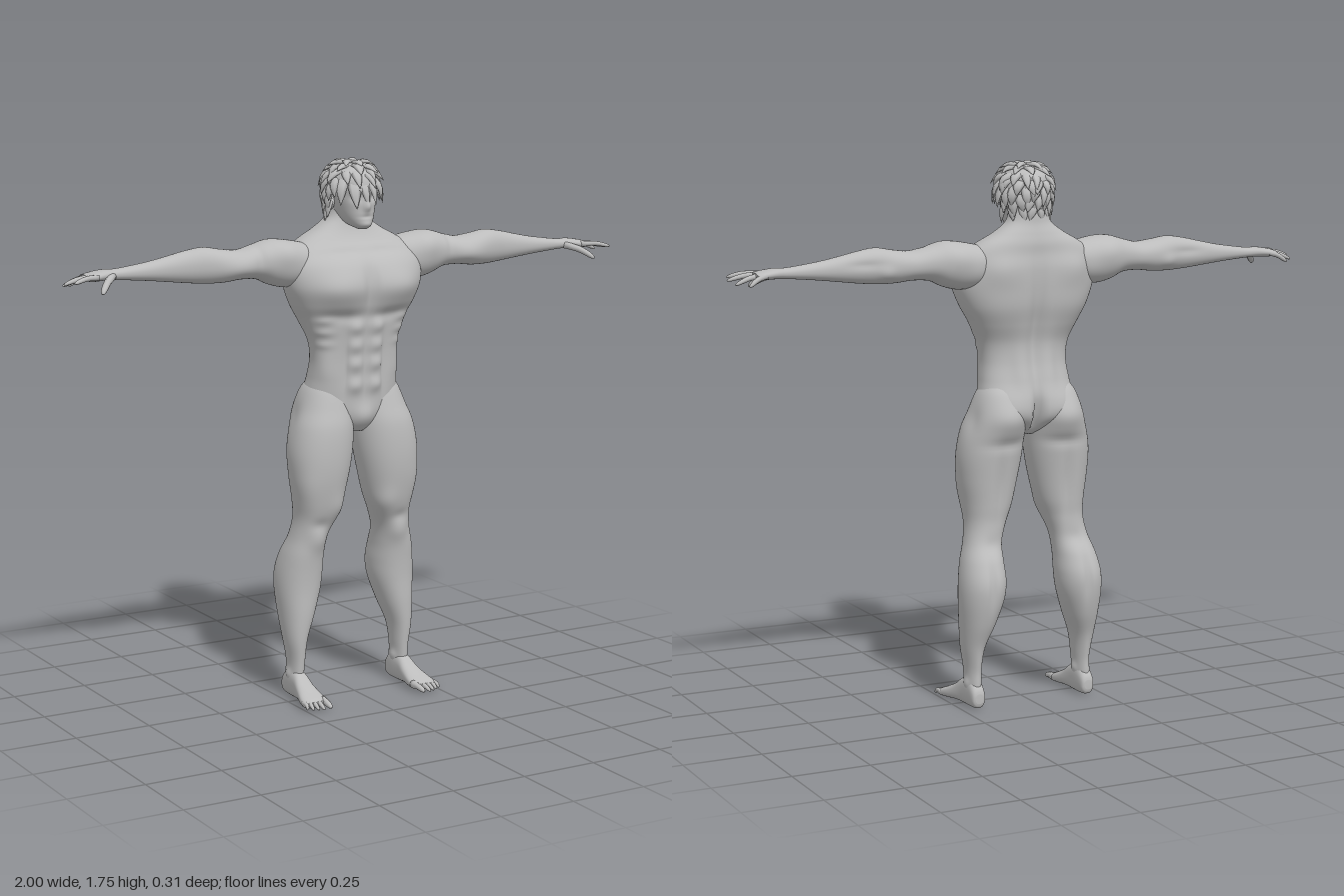
import * as THREE from 'three';

const skin = new THREE.MeshStandardMaterial({ color: 0xbcbcbc });
skin.name = 'plain grey';
const V = (x, y, z) => new THREE.Vector3(x, y, z);

// Skin a list of equal rings of points, closing both ends
function skinRings(rings) {
  const n = rings[0].length;
  const mid = r => r.reduce((s, p) => s.add(p), V(0, 0, 0)).divideScalar(n);
  const all = [rings[0].map(() => mid(rings[0])), ...rings, rings[0].map(() => mid(rings.at(-1)))];
  const index = [];
  for (let j = 0; j < all.length - 1; j++) {
    for (let i = 0; i < n; i++) {
      const a = j * n + i, b = j * n + (i + 1) % n;
      index.push(a, a + n, b, b, a + n, b + n);
    }
  }
  const g = new THREE.BufferGeometry().setFromPoints(all.flat());
  g.setIndex(index);
  g.computeVertexNormals();
  return g;
}

// Smooth loft through rows [along, u0, u1, v0, v1]; bumps [x, y, z, rx, ry, rz, amount] model the muscles
const axes = {
  y: (a, u, v) => V(u, a, v),
  x: (a, u, v) => V(a, v, u),
  z: (a, u, v) => V(v, u, a),
};
function loft(axis, rows, { power = 2.2, bumps = [], sides = 56, steps = 7 } = {}) {
  const place = axes[axis], rings = [];
  const row = k => rows[Math.max(0, Math.min(rows.length - 1, k))];
  for (let s = 0; s <= (rows.length - 1) * steps; s++) {
    const k = Math.floor(s / steps), t = s / steps - k;
    const [a, u0, u1, v0, v1] = row(k).map((p1, c) => {
      const p0 = row(k - 1)[c], p2 = row(k + 1)[c], p3 = row(k + 2)[c];
      return p1 + 0.5 * t * (p2 - p0 + t * (2 * p0 - 5 * p1 + 4 * p2 - p3 + t * (3 * (p1 - p2) + p3 - p0)));
    });
    const centre = place(a, (u0 + u1) / 2, (v0 + v1) / 2);
    const round = c => Math.sign(c) * Math.abs(c) ** (2 / power) / 2;
    rings.push(Array.from({ length: sides }, (_, i) => {
      const w = (i / sides) * Math.PI * 2;
      const p = place(a, (u0 + u1) / 2 + (u1 - u0) * round(Math.cos(w)), (v0 + v1) / 2 + (v1 - v0) * round(Math.sin(w)));
      let push = 0;
      for (const [x, y, z, rx, ry, rz, amount] of bumps) {
        push += amount * Math.exp(-(((Math.abs(p.x) - x) / rx) ** 2) - ((p.y - y) / ry) ** 2 - ((p.z - z) / rz) ** 2);
      }
      return p.clone().add(p.clone().sub(centre).normalize().multiplyScalar(push));
    }));
  }
  return skinRings(rings);
}

// Tapered strand along a curve, w wide along `side` and h thick
function strand(points, side, w, h, profile, sides = 8, segments = 9) {
  const curve = new THREE.CatmullRomCurve3(points), rings = [];
  for (let j = 0; j <= segments; j++) {
    const t = 1 - (1 - j / segments) ** 1.6, p = curve.getPoint(t), r = Math.max(0.02, profile(t));
    const up = side.clone().cross(curve.getTangent(t)).normalize();
    rings.push(Array.from({ length: sides }, (_, i) => {
      const a = (i / sides) * Math.PI * 2;
      return p.clone().addScaledVector(side, Math.cos(a) * w * r).addScaledVector(up, Math.sin(a) * h * r);
    }));
  }
  return skinRings(rings);
}
const digit = t => (1 - 0.3 * t) * Math.sqrt(Math.max(0, 1 - t ** 8));
const leaf = t => Math.sin(Math.PI * (0.25 + 0.75 * t));

export function createModel() {
  const model = new THREE.Group();
  model.name = 'muscular figure';
  const add = (name, geometry, parent = model) => {
    const mesh = new THREE.Mesh(geometry, skin);
    mesh.name = name;
    parent.add(mesh);
  };
  // Left part as given, right part mirrored with its winding turned
  const addPair = (name, geometry) => {
    add('left ' + name, geometry);
    const g = geometry.clone().scale(-1, 1, 1), ix = g.index.array;
    for (let i = 0; i < ix.length; i += 3) [ix[i], ix[i + 1]] = [ix[i + 1], ix[i]];
    g.computeVertexNormals();
    add('right ' + name, g);
  };

  // Torso and neck: [y, half width, back, front]
  const torso = [
    [0.88, 0.03, -0.06, 0.03], [0.905, 0.07, -0.1, 0.05], [0.945, 0.14, -0.13, 0.062], [1, 0.16, -0.132, 0.066],
    [1.06, 0.152, -0.115, 0.07], [1.12, 0.146, -0.1, 0.072], [1.18, 0.155, -0.098, 0.076], [1.24, 0.182, -0.115, 0.083],
    [1.3, 0.215, -0.132, 0.098], [1.36, 0.238, -0.138, 0.108], [1.42, 0.24, -0.138, 0.095], [1.465, 0.22, -0.132, 0.062],
    [1.5, 0.175, -0.13, 0.03], [1.53, 0.12, -0.122, 0.012], [1.56, 0.078, -0.112, 0.003], [1.59, 0.062, -0.108, 0.002], [1.63, 0.058, -0.1, 0.01],
  ].map(([y, w, b, f]) => [y, -w, w, b, f]);
  const torsoBumps = [
    [0.1, 1.35, 0.11, 0.085, 0.062, 0.08, 0.024], [0, 1.36, 0.11, 0.012, 0.08, 0.06, -0.014], // chest
    [0.1, 1.262, 0.09, 0.08, 0.02, 0.06, -0.012], [0.08, 1.465, 0.06, 0.08, 0.014, 0.05, -0.006],
    ...[1.225, 1.165, 1.105, 1.035].map(y => [0.034, y, 0.08, 0.024, 0.024, 0.05, 0.012]), // abdomen
    [0, 1.1, 0.08, 0.007, 0.14, 0.05, -0.007], [0.073, 1.1, 0.07, 0.012, 0.13, 0.05, -0.008],
    [0.125, 1.1, 0.04, 0.03, 0.06, 0.05, 0.008], [0, 0.93, 0.06, 0.032, 0.04, 0.04, 0.014],
    ...[1.25, 1.21, 1.17].map(y => [0.14, y, 0.06, 0.03, 0.012, 0.04, 0.006]), // ribs
    [0, 1.25, -0.13, 0.022, 0.2, 0.06, -0.02], [0.13, 1.29, -0.11, 0.07, 0.1, 0.06, 0.01], // back
    [0.12, 1.42, -0.13, 0.06, 0.055, 0.05, 0.014], [0.045, 1.1, -0.1, 0.03, 0.12, 0.05, 0.01],
    [0.085, 0.96, -0.13, 0.06, 0.06, 0.06, 0.018], [0, 0.94, -0.14, 0.014, 0.07, 0.08, -0.04], // seat
  ];
  add('torso', loft('y', torso, { power: 2.4, bumps: torsoBumps, sides: 120, steps: 9 }));

  // Legs: [y, inner, outer, back, front]
  addPair('leg', loft('y', [
    [0.03, 0.175, 0.222, -0.095, -0.01], [0.08, 0.175, 0.221, -0.092, -0.005], [0.13, 0.172, 0.222, -0.09, 0],
    [0.2, 0.162, 0.233, -0.105, 0.008], [0.28, 0.132, 0.241, -0.135, 0.013], [0.36, 0.106, 0.247, -0.155, 0.014],
    [0.42, 0.099, 0.245, -0.157, 0.018], [0.48, 0.1, 0.234, -0.136, 0.025], [0.54, 0.095, 0.216, -0.104, 0.032],
    [0.6, 0.075, 0.206, -0.095, 0.05], [0.66, 0.052, 0.21, -0.1, 0.068], [0.74, 0.032, 0.222, -0.108, 0.083],
    [0.82, 0.017, 0.226, -0.118, 0.088], [0.9, 0.01, 0.213, -0.128, 0.083], [0.96, 0.012, 0.19, -0.13, 0.066],
    [1.02, 0.03, 0.165, -0.115, 0.045], [1.06, 0.06, 0.135, -0.08, 0.02],
  ], {
    bumps: [
      [0.15, 0.53, 0.035, 0.032, 0.035, 0.03, 0.01], [0.15, 0.585, 0.05, 0.03, 0.02, 0.03, -0.007], // knee
      [0.09, 0.63, 0.05, 0.035, 0.05, 0.05, 0.01], [0.2, 0.69, 0.05, 0.035, 0.08, 0.05, 0.007], // thigh
      [0.12, 0.72, -0.11, 0.014, 0.12, 0.04, -0.01], [0.1, 0.94, -0.13, 0.06, 0.055, 0.06, 0.022],
      [0.1, 0.86, -0.12, 0.07, 0.018, 0.05, -0.008], [0.21, 0.94, -0.06, 0.03, 0.05, 0.04, -0.01],
      [0.17, 0.41, -0.16, 0.012, 0.07, 0.05, -0.01], [0.15, 0.53, -0.1, 0.03, 0.03, 0.03, -0.006], // calf
      [0.225, 0.078, -0.05, 0.016, 0.016, 0.018, 0.007], [0.172, 0.085, -0.045, 0.016, 0.016, 0.018, 0.007], // ankle
      [0.197, 0.14, -0.09, 0.012, 0.06, 0.03, 0.005],
    ],
  }));

  // Feet: [z, bottom, top, inner, outer], then toes
  addPair('foot', loft('z', [
    [-0.105, 0.02, 0.05, 0.185, 0.212], [-0.096, 0.004, 0.07, 0.176, 0.221], [-0.06, 0, 0.1, 0.172, 0.224],
    [-0.01, 0.001, 0.09, 0.171, 0.227], [0.03, 0.003, 0.063, 0.167, 0.235], [0.07, 0.001, 0.044, 0.162, 0.246],
    [0.1, 0.001, 0.032, 0.162, 0.251], [0.118, 0.005, 0.024, 0.165, 0.249],
  ], { power: 2.5, sides: 32, steps: 5 }));
  [0.158, 0.157, 0.15, 0.142, 0.13].forEach((tip, i) => {
    const x = [0.174, 0.198, 0.215, 0.231, 0.246][i], r = [0.0125, 0.009, 0.0085, 0.008, 0.0075][i];
    addPair('toe ' + (i + 1), strand([V(x - 0.002, 0.02, 0.09), V(x, 0.018, 0.12), V(x + 0.002, r * 0.8, tip)], V(1, 0, 0), r, r, digit, 10));
  });

  // Arms and palms: [x, back, front, bottom, top]
  addPair('arm', loft('x', [
    [0.12, -0.085, 0, 1.41, 1.48], [0.18, -0.115, 0.035, 1.365, 1.497], [0.24, -0.12, 0.045, 1.357, 1.508],
    [0.29, -0.118, 0.04, 1.367, 1.511], [0.34, -0.107, 0.034, 1.388, 1.499], [0.4, -0.098, 0.03, 1.392, 1.485],
    [0.46, -0.094, 0.028, 1.386, 1.49], [0.52, -0.09, 0.016, 1.386, 1.499], [0.58, -0.085, 0.001, 1.391, 1.491],
    [0.64, -0.08, -0.006, 1.398, 1.478], [0.7, -0.076, -0.01, 1.405, 1.466], [0.76, -0.072, -0.014, 1.411, 1.457],
    [0.82, -0.07, -0.018, 1.416, 1.45], [0.86, -0.081, -0.008, 1.417, 1.45], [0.9, -0.085, 0.002, 1.416, 1.444], [0.922, -0.08, 0, 1.42, 1.438],
  ], {
    bumps: [
      [0.26, 1.47, 0.03, 0.045, 0.04, 0.04, 0.01], [0.26, 1.46, -0.11, 0.045, 0.04, 0.04, 0.008], // shoulder
      [0.35, 1.46, 0.02, 0.014, 0.05, 0.05, -0.007], [0.42, 1.43, 0.03, 0.05, 0.025, 0.03, 0.006], // upper arm
      [0.5, 1.42, -0.09, 0.025, 0.02, 0.03, 0.006], [0.57, 1.45, -0.09, 0.06, 0.014, 0.03, -0.005], // elbow
    ],
  }));
  // Fingers: [base z, tip x, tip y, tip z]
  [[-0.074, 0.953, 1.4, -0.09], [-0.051, 0.987, 1.405, -0.058], [-0.027, 1, 1.415, -0.017], [-0.005, 0.985, 1.422, 0.03]].forEach(([z, tx, ty, tz], i) => {
    const base = V(0.89, 1.431, z), tip = V(tx, ty, tz), bend = base.clone().lerp(tip, 0.5).add(V(0, 0.006, 0));
    addPair('finger ' + (i + 1), strand([base, bend, tip], V(0, 0, 1), 0.0105, 0.0095, digit, 10));
  });
  addPair('thumb', strand([V(0.835, 1.43, -0.025), V(0.868, 1.418, 0.012), V(0.89, 1.402, 0.037), V(0.905, 1.388, 0.054)], V(0.6, 0, -0.8), 0.013, 0.012, digit, 10));

  // Head: [y, half width, back, front]
  add('head', loft('y', [
    [1.537, 0.015, 0.035, 0.065], [1.547, 0.03, -0.01, 0.078], [1.567, 0.046, -0.07, 0.082], [1.6, 0.06, -0.11, 0.08],
    [1.64, 0.07, -0.12, 0.079], [1.69, 0.074, -0.12, 0.073], [1.72, 0.06, -0.105, 0.05], [1.742, 0.025, -0.06, 0.005],
  ].map(([y, w, b, f]) => [y, -w, w, b, f]), {
    sides: 72,
    bumps: [
      [0, 1.608, 0.08, 0.011, 0.016, 0.03, 0.014], [0, 1.635, 0.08, 0.009, 0.02, 0.03, 0.007], // nose
      [0.03, 1.637, 0.07, 0.018, 0.012, 0.03, -0.009], [0.03, 1.66, 0.075, 0.025, 0.009, 0.03, 0.005], // eyes and brow
      [0, 1.577, 0.08, 0.022, 0.004, 0.03, -0.004], [0, 1.552, 0.08, 0.018, 0.01, 0.03, 0.004], // mouth and chin
    ],
  }));
  addPair('ear', new THREE.SphereGeometry(1, 14, 10).scale(0.009, 0.026, 0.017).translate(0.072, 1.62, -0.025));

  // Hair: a cap under rings of overlapping pointed locks
  const hair = new THREE.Group();
  hair.name = 'hair';
  model.add(hair);
  add('hair cap', new THREE.SphereGeometry(1, 32, 20, 0, Math.PI * 2, 0, 1.7).rotateX(-0.5).scale(0.083, 0.085, 0.095).translate(0, 1.665, -0.025), hair);
  let seed = 7;
  const rand = () => (seed = (seed * 16807) % 2147483647) / 2147483647;
  const scalp = (polar, az, lift) => {
    const low = Math.max(0, polar - Math.PI / 2), tuck = 0.14 - 0.14 * Math.cos(az);
    const out = (low ? 1 - low * tuck : Math.sin(polar)) * lift;
    const y = low ? -0.1 * low : 0.085 * Math.cos(polar) * lift;
    return V(0.085 * out * Math.sin(az), 1.665 + y, -0.025 + 0.095 * out * Math.cos(az));
  };
  [[0.08, 6], [0.38, 10], [0.7, 14], [1.0, 17], [1.3, 17], [1.6, 17], [1.85, 15]].forEach(([polar, count], ring) => {
    for (let i = 0; i < count; i++) {
      const az = ((i + 0.5 * (ring % 2) + 0.4 * rand()) / count) * Math.PI * 2, front = Math.cos(az);
      if ((polar > 1.1 && front > 0.45) || (polar > 1.5 && front > 0.1)) continue;
      const p = polar + 0.12 * rand(), turn = 0.35 * (rand() - 0.5);
      const long = (front > 0.5 && polar > 0.9 ? 0.95 : 0.6) + 0.2 * rand(), flick = 1.14 + 0.12 * rand();
      add('lock', strand([
        scalp(p, az, 0.88), scalp(p + long * 0.5, az + turn * 0.4, 1.09), scalp(p + long, az + turn, flick),
      ], V(Math.cos(az), 0, -Math.sin(az)), 0.015 + 0.006 * rand(), 0.008, leaf, 6, 7), hair);
    }
  });
  return model;
}
